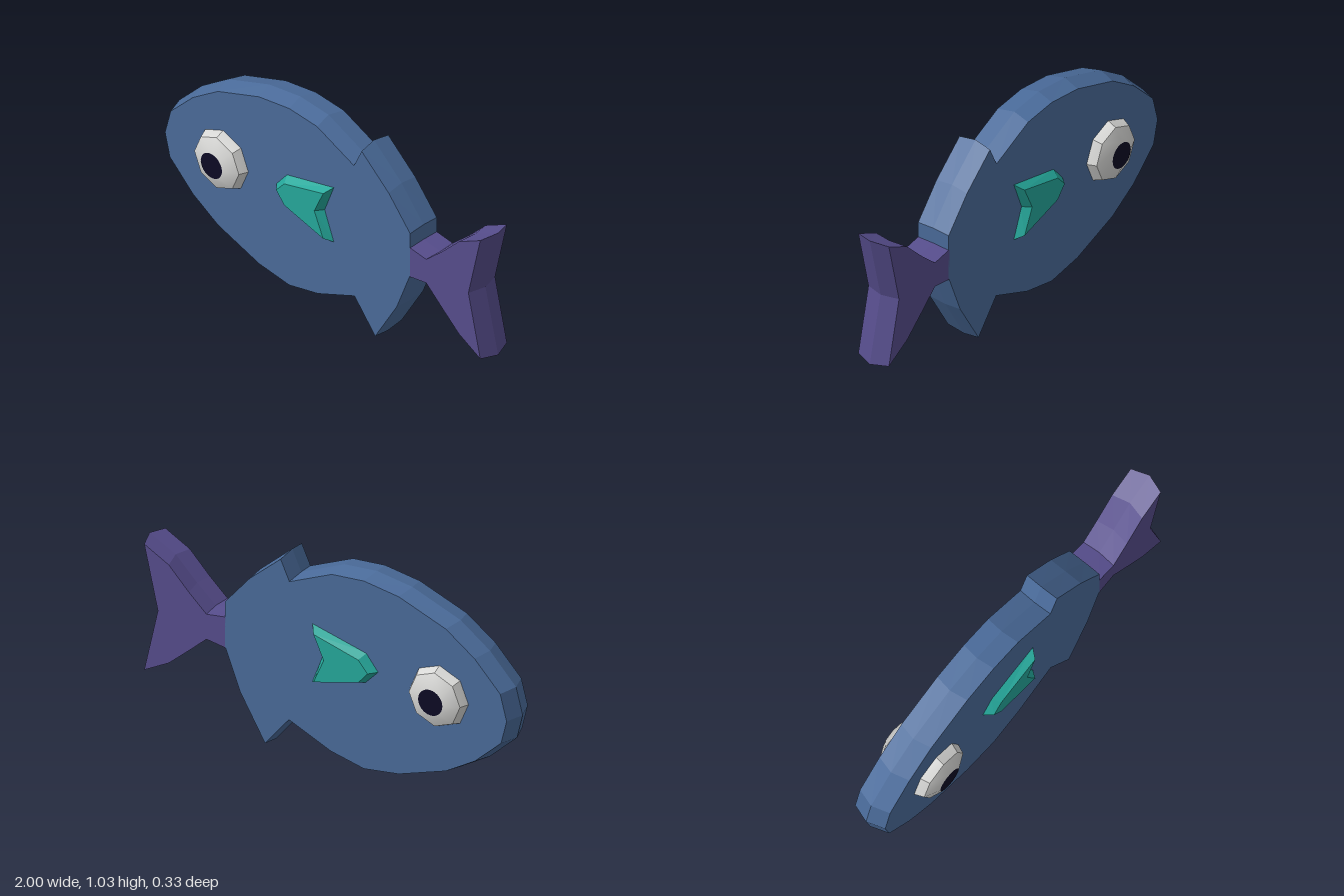
import * as THREE from 'three';
import { toCreasedNormals } from 'three/addons/utils/BufferGeometryUtils.js';

// Flat-shaded solid through matching outlines: layers = [[z, [[x, y], ...]], ...], counter-clockwise
function loft(layers) {
  const pos = [];
  const tri = (...pts) => pts.forEach((p) => pos.push(...p));
  const rings = layers.map(([z, pts]) => pts.map(([x, y]) => [x, y, z]));
  const n = rings[0].length;
  for (let k = 0; k < rings.length - 1; k++) {
    for (let i = 0; i < n; i++) {
      const j = (i + 1) % n;
      const [a, b, c, d] = [rings[k][i], rings[k][j], rings[k + 1][j], rings[k + 1][i]];
      tri(a, b, c);
      tri(a, c, d);
    }
  }
  const first = rings[0], last = rings[rings.length - 1];
  const faces = (r) => THREE.ShapeUtils.triangulateShape(r.map(([x, y]) => new THREE.Vector2(x, y)), []);
  for (const [a, b, c] of faces(first)) tri(first[a], first[c], first[b]);
  for (const [a, b, c] of faces(last)) tri(last[a], last[b], last[c]);
  const geo = new THREE.BufferGeometry();
  geo.setAttribute('position', new THREE.Float32BufferAttribute(pos, 3));
  geo.computeVertexNormals();
  return geo;
}

// Outline scaled about a point
const scaled = (pts, cx, cy, sx, sy) => pts.map(([x, y]) => [cx + (x - cx) * sx, cy + (y - cy) * sy]);

export function createModel() {
  const group = new THREE.Group();
  const mat = (name, color) => {
    const m = new THREE.MeshStandardMaterial({ color });
    m.name = name;
    return m;
  };
  const blue = mat('bodyBlue', 0x4a6b9a);
  const purple = mat('tailPurple', 0x564d8c);
  const teal = mat('finTeal', 0x25a89b);
  const white = mat('eyeWhite', 0xd8d8d6);
  const black = mat('pupilBlack', 0x0c0a24);
  const add = (name, geo, material, parent = group) => {
    const mesh = new THREE.Mesh(geo, material);
    mesh.name = name;
    parent.add(mesh);
    return mesh;
  };
  const HALF = 0.088;

  // Body with upper and lower fins in one outline, ridged along the rim
  const body = [
    [-1, 0.52], [-0.97, 0.395], [-0.825, 0.255], [-0.668, 0.155], [-0.41, 0.06], [-0.22, 0.03],
    [-0.04, 0.068], [0.19, 0.165], [0.32, 0.0], [0.455, 0.23], [0.54, 0.45], [0.54, 0.685],
    [0.405, 0.85], [0.235, 1.005], [0.187, 0.9], [-0.045, 1.01], [-0.22, 1.028], [-0.41, 1.003],
    [-0.668, 0.91], [-0.825, 0.8], [-0.965, 0.655],
  ];
  const bodyFace = scaled(body, 0.54, 0.52, 0.981, 0.97);
  add('body', loft([[-HALF, bodyFace], [0, body], [HALF, bodyFace]]), blue);

  // Forked tail
  const tail = [
    [0.535, 0.44], [0.645, 0.455], [0.745, 0.365], [0.86, 0.265], [1, 0.188], [0.922, 0.525],
    [1, 0.857], [0.86, 0.787], [0.745, 0.675], [0.645, 0.588], [0.535, 0.605],
  ];
  const tailFace = scaled(tail, 0.535, 0.522, 0.94, 0.97);
  add('tail', loft([[-HALF, tailFace], [0, tail], [HALF, tailFace]]), purple);

  // Bevelled side fins, one solid passing through the body
  const fin = [[-0.285, 0.565], [-0.215, 0.49], [0.072, 0.41], [0.015, 0.562], [0.072, 0.712], [-0.22, 0.645]];
  const finFace = [[-0.25, 0.565], [-0.2, 0.505], [0.04, 0.435], [-0.015, 0.562], [0.04, 0.682], [-0.2, 0.622]];
  add('sideFins', loft([[-0.127, finFace], [-0.085, fin], [0.085, fin], [0.127, finFace]]), teal);

  // Eight-sided domed eyes with round pupils
  const profile = [[0.156, 0.08], [0.154, 0.092], [0.137, 0.132], [0.07, 0.165], [0, 0.165]];
  const eyeGeo = toCreasedNormals(
    new THREE.LatheGeometry(profile.map(([r, h]) => new THREE.Vector2(r, h)), 8).rotateX(Math.PI / 2), 0.68);
  const pupilGeo = new THREE.CircleGeometry(0.065, 32).translate(0, 0, 0.1665);
  for (const [name, turn] of [['rightEye', 0], ['leftEye', Math.PI]]) {
    const eye = new THREE.Group();
    eye.name = name;
    eye.position.set(-0.612, 0.545, 0);
    eye.rotation.y = turn;
    add('eyeball', eyeGeo, white, eye);
    add('pupil', pupilGeo, black, eye);
    group.add(eye);
  }
  return group;
}
